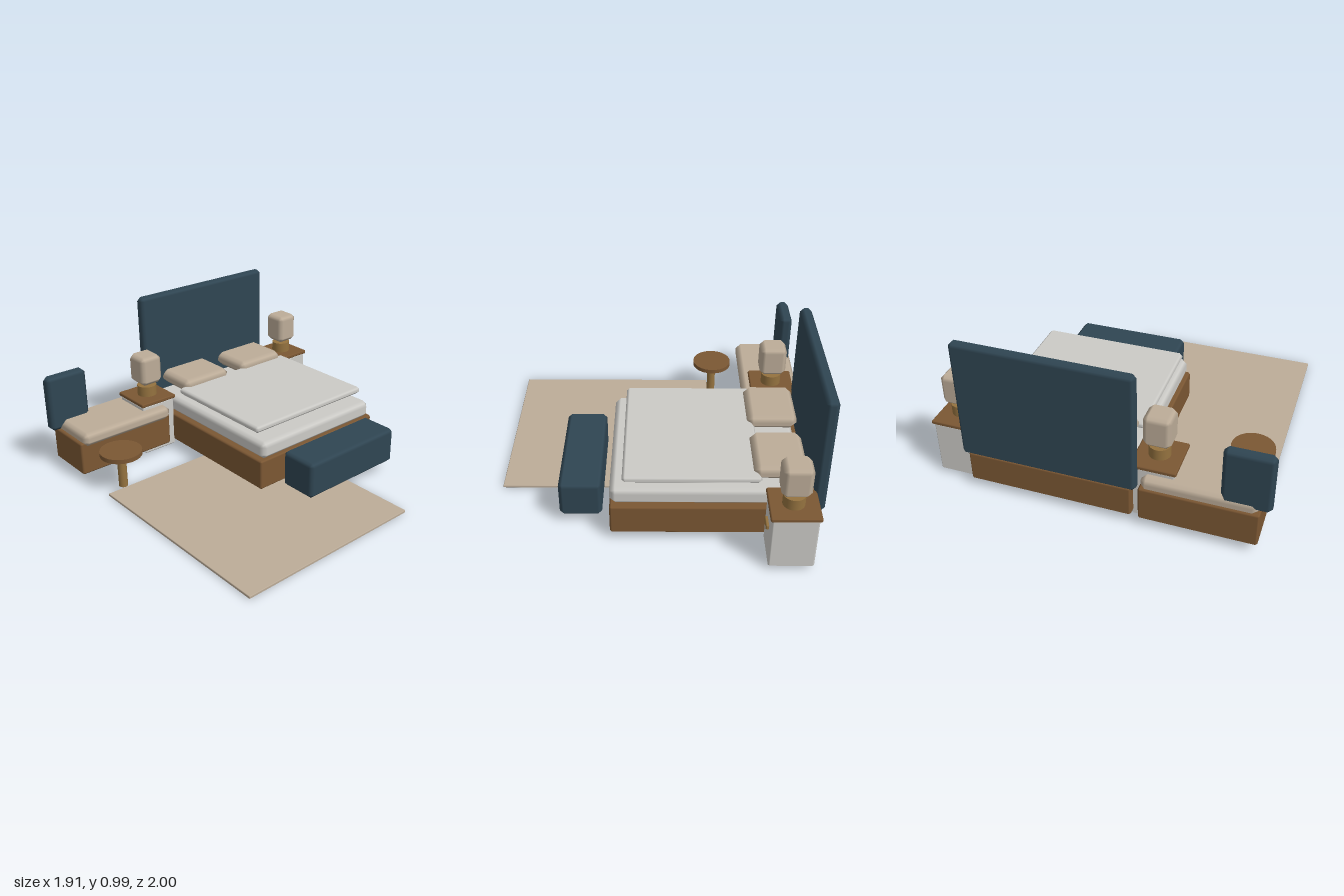
import * as THREE from 'three';

const mat = (name, color) => {
  const m = new THREE.MeshStandardMaterial({ color });
  m.name = name;
  return m;
};

// Box with 45 degree bevels and softly shaded edges, given by its min and max per axis.
function bevelBox([x0, x1], [y0, y1], [z0, z1], bevel) {
  const half = [(x1 - x0) / 2, (y1 - y0) / 2, (z1 - z0) / 2];
  const geo = new THREE.BoxGeometry(1, 1, 1, 3, 3, 3);
  const pos = geo.attributes.position;
  const nor = geo.attributes.normal;
  const inset = [0, 0, 0.5, 2 / 3]; // by number of axes on the outer shell
  for (let i = 0; i < pos.count; i++) {
    const p = [pos.getX(i), pos.getY(i), pos.getZ(i)];
    const outer = p.map((v) => Math.abs(v) > 0.4);
    const count = outer.filter(Boolean).length;
    const q = p.map((v, k) => Math.sign(v) * (half[k] - bevel * (outer[k] ? inset[count] : 1)));
    const n = new THREE.Vector3(...p.map((v, k) => (outer[k] ? Math.sign(v) : 0))).normalize();
    pos.setXYZ(i, ...q);
    nor.setXYZ(i, n.x, n.y, n.z);
  }
  geo.translate((x0 + x1) / 2, (y0 + y1) / 2, (z0 + z1) / 2);
  return geo;
}

function cylinder(x, z, radius, y0, y1, sides = 32) {
  const geo = new THREE.CylinderGeometry(radius, radius, y1 - y0, sides);
  return geo.translate(x, (y0 + y1) / 2, z);
}

export function createModel() {
  const wood = mat('walnut wood', 0x7b5733);
  const oak = mat('light wood', 0x94723f);
  const navy = mat('blue upholstery', 0x2f4552);
  const white = mat('white linen', 0xcbcac6);
  const beige = mat('beige fabric', 0xbcac98);

  const model = new THREE.Group();
  model.name = 'bedroomSet';

  const group = (name) => {
    const g = new THREE.Group();
    g.name = name;
    model.add(g);
    return g;
  };
  const add = (parent, name, geo, material) => {
    const mesh = new THREE.Mesh(geo, material);
    mesh.name = name;
    parent.add(mesh);
  };

  // Bed
  const bed = group('bed');
  add(bed, 'bedBase', bevelBox([-0.94, 0.26], [0.05, 0.245], [-0.755, 0.228], 0.012), wood);
  add(bed, 'headboard', bevelBox([-0.956, -0.884], [0.24, 0.99], [-0.787, 0.26], 0.024), navy);
  add(bed, 'mattress', bevelBox([-0.845, 0.26], [0.24, 0.356], [-0.735, 0.21], 0.034), white);
  add(bed, 'duvet', bevelBox([-0.6, 0.186], [0.39, 0.435], [-0.722, 0.195], 0.018), white);
  for (const z of [-0.505, -0.025]) {
    add(bed, 'pillow', bevelBox([-0.86, -0.557], [0.385, 0.48], [z - 0.187, z + 0.187], 0.038), beige);
  }

  // Nightstands, each with a lamp
  for (const z of [-0.867, 0.34]) {
    const stand = group('nightstand');
    add(stand, 'cabinet', bevelBox([-0.888, -0.63], [0.022, 0.362], [z - 0.123, z + 0.123], 0.01), white);
    add(stand, 'standTop', bevelBox([-0.9, -0.62], [0.36, 0.387], [z - 0.133, z + 0.133], 0.008), wood);
    add(stand, 'drawerHandle', bevelBox([-0.632, -0.612], [0.224, 0.256], [z - 0.043, z + 0.043], 0.006), oak);

    const lamp = group('lamp');
    add(lamp, 'lampBase', cylinder(-0.757, z, 0.063, 0.385, 0.455), oak);
    add(lamp, 'lampShade', bevelBox([-0.84, -0.674], [0.473, 0.67], [z - 0.081, z + 0.081], 0.03), beige);
  }

  // Day bed
  const lounge = group('dayBed');
  add(lounge, 'loungeBase', bevelBox([-0.945, -0.61], [0.05, 0.268], [0.27, 0.943], 0.012), wood);
  add(lounge, 'loungeCushion', bevelBox([-0.945, -0.572], [0.246, 0.338], [0.278, 0.932], 0.034), beige);
  add(lounge, 'loungeBack', bevelBox([-0.932, -0.853], [0.275, 0.64], [0.722, 1.0], 0.026), navy);

  // Bench at the foot of the bed
  add(group('bench'), 'benchSeat', bevelBox([0.312, 0.562], [0.065, 0.3], [-0.632, 0.102], 0.025), navy);

  // Round side table
  const table = group('sideTable');
  add(table, 'tableTop', cylinder(-0.395, 0.79, 0.13, 0.238, 0.266, 40), wood);
  add(table, 'tableLeg', cylinder(-0.395, 0.79, 0.028, 0.018, 0.24, 24), oak);

  // Rug
  add(group('rug'), 'rugMat', bevelBox([-0.37, 0.952], [0, 0.018], [-0.302, 0.915], 0.004), beige);

  return model;
}
